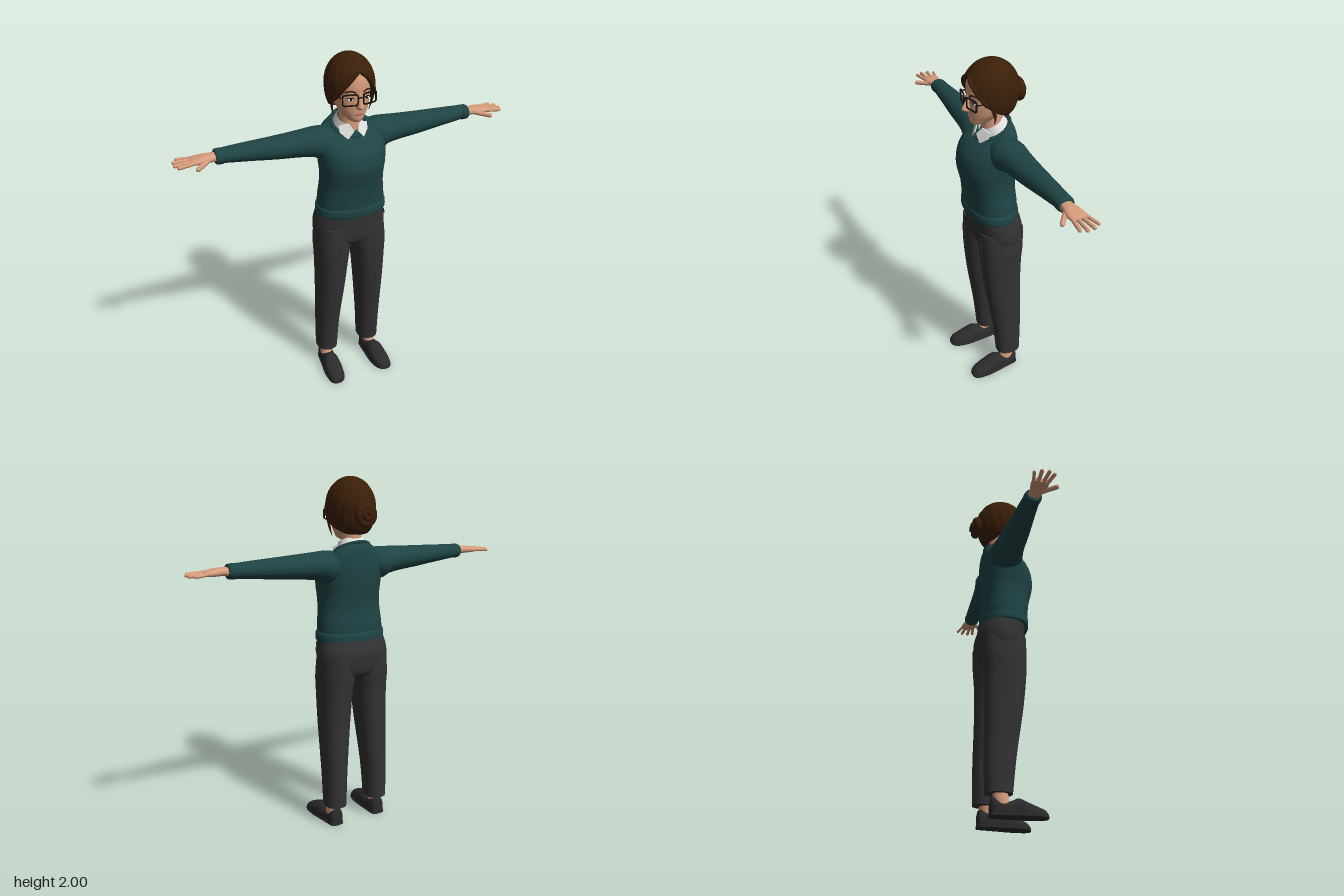
import * as THREE from 'three';

const material = (name, color, side = THREE.FrontSide) => {
  const m = new THREE.MeshStandardMaterial({ color, side });
  m.name = name;
  return m;
};

// Smooth closed body through bounding sections [p, u0, u1, v0, v1, tilt], p ascending.
// axis y: u = x, v = z; axis x: u = z, v = y; axis z: u = y, v = x.
function loft(keys, { axis = 'y', n = 2, seg = 32, steps = 5, floor = -9 } = {}) {
  const at = (i, k) => keys[Math.min(Math.max(i, 0), keys.length - 1)][k] ?? 0;
  const pos = [], idx = [], rows = (keys.length - 1) * steps;
  const power = c => Math.sign(c) * Math.abs(c) ** (2 / n);
  const put = (x, y, z) => {
    const p = axis === 'x' ? [y, z, x] : axis === 'z' ? [z, x, y] : [x, y, z];
    p[1] = Math.max(p[1], floor);
    pos.push(...p);
  };
  const section = r => {
    const i = Math.min(Math.floor(r / steps), keys.length - 2), t = r / steps - i;
    return [0, 1, 2, 3, 4, 5].map(k => {
      const a = at(i - 1, k), b = at(i, k), c = at(i + 1, k), d = at(i + 2, k);
      return b + 0.5 * t * (c - a + t * (2 * a - 5 * b + 4 * c - d + t * (3 * (b - c) + d - a)));
    });
  };
  const ring = r => {
    const [p, u0, u1, v0, v1, tilt] = section(r);
    for (let j = 0; j < seg; j++) {
      const a = j / seg * Math.PI * 2;
      const u = (u0 + u1) / 2 + (u1 - u0) / 2 * power(Math.sin(a));
      const v = (v0 + v1) / 2 + (v1 - v0) / 2 * power(Math.cos(a));
      put(u, p - tilt * v, v);
    }
  };
  for (let r = 0; r <= rows; r++) ring(r);
  for (let r = 0; r < rows; r++) for (let j = 0; j < seg; j++) {
    const a = r * seg + j, b = r * seg + (j + 1) % seg;
    idx.push(a, b, a + seg, b, b + seg, a + seg);
  }
  for (const r of [0, rows]) {
    const start = pos.length / 3, [p, u0, u1, v0, v1, tilt] = section(r), v = (v0 + v1) / 2;
    ring(r);
    put((u0 + u1) / 2, p - tilt * v, v);
    for (let j = 0; j < seg; j++) {
      const a = start + j, b = start + (j + 1) % seg;
      idx.push(start + seg, r ? a : b, r ? b : a);
    }
  }
  return finish(pos, idx);
}

function finish(pos, idx) {
  const g = new THREE.BufferGeometry();
  g.setAttribute('position', new THREE.Float32BufferAttribute(pos, 3));
  g.setIndex(idx);
  g.computeVertexNormals();
  return g;
}

// Reflects a geometry across x and restores its face order
function mirrored(geo) {
  const g = geo.clone().scale(-1, 1, 1);
  const src = g.index ? Array.from(g.index.array) : Array.from({ length: g.attributes.position.count }, (_, i) => i);
  for (let i = 0; i < src.length; i += 3) [src[i + 1], src[i + 2]] = [src[i + 2], src[i + 1]];
  g.setIndex(src);
  return g;
}

const V = (x, y, z) => new THREE.Vector3(x, y, z);
const ball = (x, y, z, rx, ry, rz) => new THREE.SphereGeometry(1, 20, 14).scale(rx, ry, rz).translate(x, y, z);
const tube = (points, r, closed = false, seg = 24) =>
  new THREE.TubeGeometry(new THREE.CatmullRomCurve3(points.map(p => V(...p)), closed), seg, r, 8, closed);
function capsule(a, b, r) {
  const d = V(...b).sub(V(...a)), q = new THREE.Quaternion().setFromUnitVectors(V(0, 1, 0), d.clone().normalize());
  return new THREE.CapsuleGeometry(r, d.length() - r, 5, 10).applyQuaternion(q)
    .translate((a[0] + b[0]) / 2, (a[1] + b[1]) / 2, (a[2] + b[2]) / 2);
}

// Swept hair shell with a curved lower edge and combed grooves
function hairShell() {
  const edge = [[0, 1.925], [20, 1.895], [40, 1.84], [60, 1.785], [90, 1.735], [130, 1.7], [181, 1.695]];
  const pos = [], idx = [], seg = 96, rows = 24;
  for (let i = 0; i <= rows + 1; i++) for (let j = 0; j < seg; j++) {
    const a = (j / seg) * Math.PI * 2, deg = Math.abs(a > Math.PI ? a - 2 * Math.PI : a) * 180 / Math.PI;
    const k = edge.findIndex(e => e[0] > deg), [d0, y0] = edge[k - 1], [d1, y1] = edge[k];
    const y = y0 + (y1 - y0) * (deg - d0) / (d1 - d0);
    const phi = Math.acos((y - 1.84) / 0.16) * Math.min(i / rows, 1), s = Math.sin(phi);
    const side = a > Math.PI ? -1 : 1;
    let r = (phi > Math.PI / 2 ? Math.sqrt(s) : s) * (1 + 0.014 * s * Math.sin(16 * a + side * 5 * phi));
    if (i > rows) r *= 0.82;
    pos.push(0.13 * r * Math.sin(a), 1.84 + 0.16 * Math.cos(phi), -0.005 + 0.152 * r * Math.cos(a));
  }
  for (let i = 0; i <= rows; i++) for (let j = 0; j < seg; j++) {
    const a = i * seg + j, b = i * seg + (j + 1) % seg;
    idx.push(a, a + seg, b, b, a + seg, b + seg);
  }
  return finish(pos, idx);
}

// Rounded rectangle outline
function roundRect(path, w, h, r) {
  path.moveTo(-w + r, -h).lineTo(w - r, -h).quadraticCurveTo(w, -h, w, -h + r).lineTo(w, h - r)
    .quadraticCurveTo(w, h, w - r, h).lineTo(-w + r, h).quadraticCurveTo(-w, h, -w, h - r)
    .lineTo(-w, -h + r).quadraticCurveTo(-w, -h, -w + r, -h);
  return path;
}

export function createModel() {
  const group = new THREE.Group();
  const skin = material('skin', 0xd69c7c), hair = material('brown hair', 0x3b1f09, THREE.DoubleSide);
  const knit = material('green knit', 0x1f4344), cloth = material('charcoal cloth', 0x333234);
  const leather = material('black leather', 0x2b2b2d), shirt = material('white shirt', 0xe4e4e2, THREE.DoubleSide);
  const frame = material('dark frame', 0x17130f), lip = material('lip', 0xb5695a);
  const white = material('eye white', 0xe8e2dc);
  const add = (name, geo, mat) => {
    const mesh = new THREE.Mesh(geo, mat);
    mesh.name = name;
    group.add(mesh);
  };
  const pair = (name, geo, mat) => {
    add(name + 'Left', geo, mat);
    add(name + 'Right', mirrored(geo), mat);
  };

  // Sweater
  add('sweaterBody', loft([
    [1.14, -.193, .193, -.127, .137], [1.2, -.19, .19, -.127, .141], [1.28, -.18, .18, -.12, .15],
    [1.35, -.178, .178, -.123, .167], [1.41, -.184, .184, -.129, .175], [1.48, -.19, .19, -.132, .16],
    [1.54, -.185, .185, -.13, .127, .1], [1.58, -.15, .15, -.123, .1, .3], [1.605, -.095, .095, -.105, .076, .5],
  ], { n: 2.3, seg: 48 }), knit);
  add('sweaterHem', loft([
    [1.103, -.197, .197, -.13, .136], [1.112, -.203, .203, -.135, .142],
    [1.148, -.2, .2, -.134, .143], [1.158, -.191, .191, -.126, .137],
  ], { n: 2.3, seg: 48 }), knit);
  const neckline = Array.from({ length: 20 }, (_, i) => {
    const a = i / 20 * Math.PI * 2, z = -.015 + .091 * Math.cos(a);
    return [.095 * Math.sin(a), 1.605 - .5 * z, z];
  });
  add('necklineRib', tube(neckline, .009, true, 60), knit);
  pair('sleeve', loft([
    [.1, -.1, .06, 1.46, 1.605], [.17, -.12, .078, 1.435, 1.612], [.22, -.113, .07, 1.455, 1.61],
    [.3, -.1, .06, 1.467, 1.606], [.42, -.09, .05, 1.478, 1.6], [.55, -.08, .036, 1.493, 1.595],
    [.69, -.07, .022, 1.508, 1.588], [.715, -.064, .016, 1.514, 1.582],
  ], { axis: 'x' }), knit);
  pair('cuff', loft([
    [.698, -.066, .018, 1.512, 1.584], [.704, -.071, .025, 1.506, 1.589],
    [.733, -.068, .023, 1.508, 1.587], [.739, -.062, .016, 1.515, 1.58],
  ], { axis: 'x' }), knit);

  // Hands
  pair('hand', loft([
    [.72, -.052, .012, 1.526, 1.572], [.76, -.053, .016, 1.529, 1.572], [.8, -.062, .026, 1.53, 1.57],
    [.84, -.068, .026, 1.532, 1.564], [.865, -.062, .02, 1.538, 1.558],
  ], { axis: 'x', n: 2.4, seg: 24 }), skin);
  const fingers = [[-.056, .932, -.078, .0085], [-.033, .952, -.043, .01], [-.008, .955, -.004, .01], [.014, .94, .028, .01]];
  fingers.forEach(([z0, x1, z1, r], i) =>
    pair('finger' + (i + 1), capsule([.84, 1.549, z0], [x1 - r / 2, 1.544, z1], r), skin));
  pair('thumb', capsule([.775, 1.546, .006], [.85, 1.537, .07], .0125), skin);

  // Trousers
  add('trouserSeat', loft([
    [.885, -.11, .11, -.1, .06], [.925, -.19, .19, -.138, .1], [.98, -.21, .21, -.15, .11],
    [1.05, -.208, .208, -.153, .115], [1.13, -.19, .19, -.128, .12],
  ], { n: 2.4, seg: 48 }), cloth);
  pair('trouserLeg', loft([
    [.12, .075, .2, -.127, .02], [.33, .065, .202, -.13, .043], [.6, .04, .205, -.127, .085],
    [.8, .02, .208, -.132, .106], [.9, .005, .211, -.141, .11], [1.02, .01, .2, -.145, .108],
  ], { n: 2.3 }), cloth);
  pair('trouserCrease', tube([[.137, .125, .019], [.133, .33, .042], [.123, .6, .084], [.114, .8, .105],
    [.108, .9, .11], [.105, 1, .107]], .003), cloth);
  pair('pocketSeam', tube([[.175, 1.09, .072], [.192, 1.05, .05], [.204, 1.03, .025]], .004), cloth);

  // Feet
  pair('ankle', loft([[.04, .108, .184, -.085, .03], [.09, .114, .18, -.085, 0], [.16, .108, .175, -.09, -.01]]), skin);
  pair('shoe', loft([
    [-.1, -.02, .08, .118, .165], [-.088, -.04, .103, .105, .18], [-.05, -.04, .092, .1, .186],
    [0, -.04, .083, .1, .193], [.045, -.04, .1, .099, .2], [.09, -.04, .083, .098, .206],
    [.14, -.03, .062, .104, .207], [.18, -.02, .045, .118, .2], [.2, -.01, .025, .138, .182],
  ], { axis: 'z', n: 2.4, floor: .004 }), leather);
  pair('sole', loft([
    [-.102, 0, .016, .12, .164], [-.088, 0, .016, .102, .183], [0, 0, .016, .097, .196], [.09, 0, .016, .095, .209],
    [.15, 0, .016, .103, .208], [.185, 0, .016, .118, .2], [.202, 0, .016, .14, .18],
  ], { axis: 'z', n: 6 }), leather);

  // Neck and shirt collar
  add('neck', loft([[1.55, -.06, .06, -.09, .045], [1.64, -.054, .054, -.076, .045], [1.73, -.055, .055, -.075, .05]]), skin);
  add('collarBand', new THREE.CylinderGeometry(.068, .087, .062, 40, 1, true, .35, Math.PI * 2 - .7)
    .rotateX(.42).translate(0, 1.628, -.015), shirt);
  const flapShape = new THREE.Shape([[.03, 1.637], [.01, 1.6], [.045, 1.558], [.08, 1.59], [.082, 1.622]]
    .map(p => new THREE.Vector2(...p)));
  const flap = new THREE.ExtrudeGeometry(flapShape, { depth: .006, bevelEnabled: false });
  const fp = flap.attributes.position;
  for (let i = 0; i < fp.count; i++) fp.setZ(i, fp.getZ(i) + .1 - (fp.getY(i) - 1.56) * .4 - fp.getX(i) * .5);
  flap.computeVertexNormals();
  pair('collarFlap', flap, shirt);

  // Head and face
  add('head', loft([
    [1.656, -.02, .02, .04, .098], [1.668, -.042, .042, .01, .113], [1.69, -.06, .06, -.03, .118],
    [1.72, -.08, .08, -.06, .12], [1.76, -.093, .093, -.09, .123], [1.8, -.1, .1, -.11, .125],
    [1.85, -.105, .105, -.12, .128], [1.9, -.1, .1, -.12, .12], [1.95, -.075, .075, -.1, .09], [1.975, -.03, .03, -.05, .04],
  ], { seg: 40 }), skin);
  add('nose', loft([[1.734, -.008, .008, .1, .136], [1.742, -.017, .017, .1, .151], [1.754, -.018, .018, .1, .161],
    [1.785, -.011, .011, .1, .144], [1.83, -.008, .008, .1, .129]], { seg: 20 }), skin);
  add('lips', ball(0, 1.706, .117, .024, .007, .006), lip);
  pair('ear', ball(.1, 1.765, 0, .012, .032, .02), skin);
  pair('eye', ball(.044, 1.79, .111, .017, .008, .006), white);
  pair('iris', ball(.044, 1.791, .1145, .007, .0075, .004), frame);
  pair('upperLash', tube([[.027, 1.794, .12], [.044, 1.8, .116], [.063, 1.794, .104]], .0022), frame);
  pair('brow', tube([[.02, 1.828, .125], [.045, 1.837, .118], [.072, 1.828, .099]], .004), hair);

  // Glasses
  const rim = roundRect(new THREE.Shape(), .043, .032, .016);
  rim.holes.push(roundRect(new THREE.Path(), .037, .026, .012));
  pair('glassesRim', new THREE.ExtrudeGeometry(rim, { depth: .007, bevelEnabled: false, curveSegments: 6 })
    .rotateY(.22).translate(.054, 1.794, .127), frame);
  add('glassesBridge', tube([[-.014, 1.8, .138], [0, 1.805, .141], [.014, 1.8, .138]], .0035), frame);
  pair('glassesTemple', tube([[.096, 1.806, .12], [.105, 1.806, .08], [.108, 1.804, 0]], .0035), frame);

  // Hair
  add('hairShell', hairShell(), hair);
  pair('looseStrand', loft([[1.685, .098, .101, .022, .026], [1.715, .106, .115, .018, .03], [1.755, .108, .122, .02, .045],
    [1.81, .108, .126, .025, .065]], { seg: 12 }), hair);
  pair('fringeSweep', tube([[.008, 1.935, .121], [.04, 1.905, .128], [.082, 1.85, .107], [.108, 1.795, .07]], .011), hair);
  add('bunBase', ball(0, 1.805, -.15, .062, .058, .035), hair);
  add('bunCoil', new THREE.TorusGeometry(.042, .024, 12, 36).translate(0, 1.803, -.163), hair);
  add('bunTwist', new THREE.TorusGeometry(.019, .015, 10, 24).rotateX(.15).translate(.004, 1.806, -.185), hair);

  return group;
}
